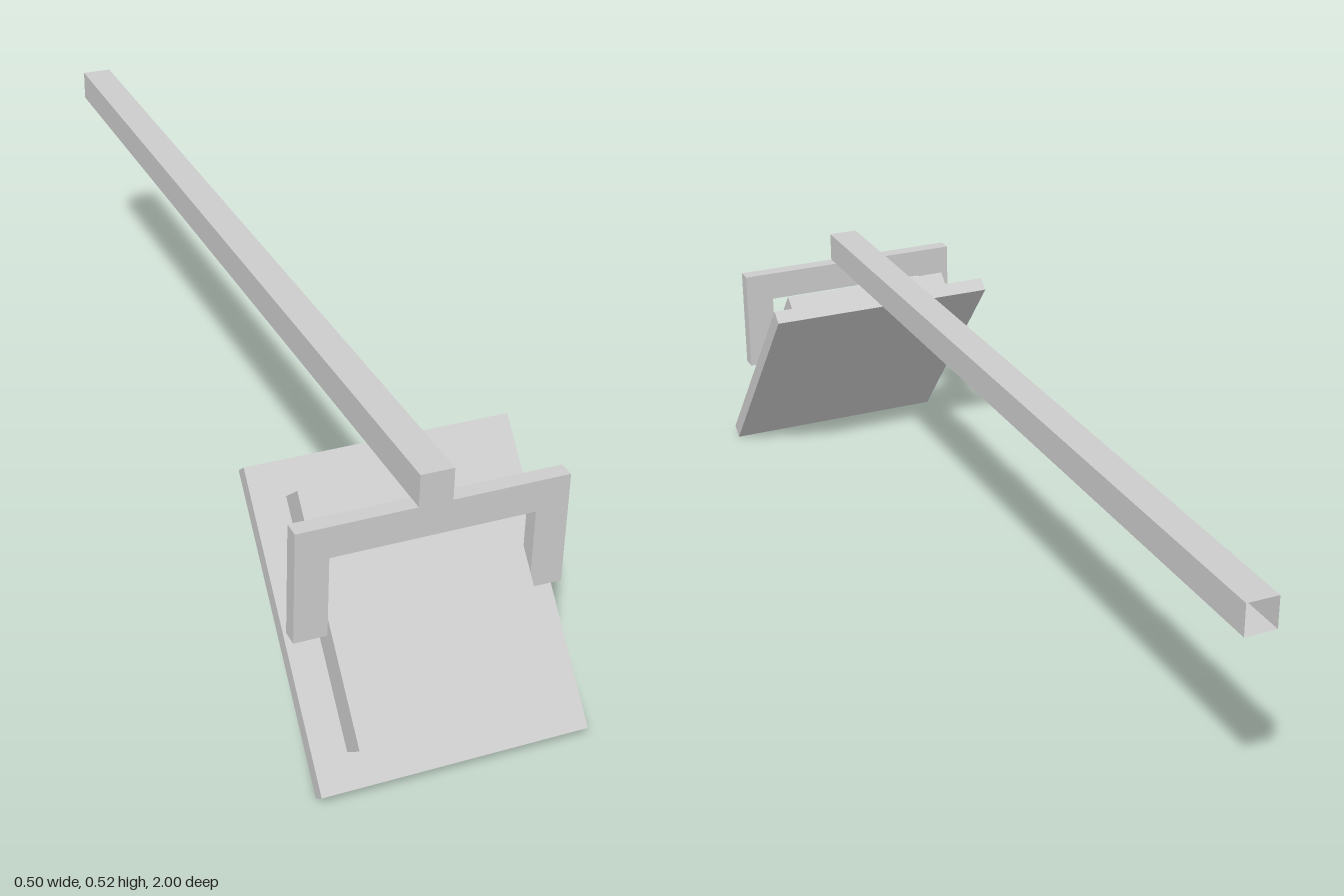
import * as THREE from 'three';

export function createModel() {
  const model = new THREE.Group();
  const grey = new THREE.MeshStandardMaterial({ color: 0xcccccc, side: THREE.DoubleSide });
  grey.name = 'light grey';

  const add = (parent, name, geometry, x, y, z) => {
    const mesh = new THREE.Mesh(geometry, grey);
    mesh.name = name;
    mesh.position.set(x, y, z);
    parent.add(mesh);
    return mesh;
  };

  // Long square handle, a hollow tube left open at its back end
  const tube = new THREE.BoxGeometry(0.062, 0.062, 1.86);
  tube.setIndex(Array.from(tube.index.array).slice(0, 30)); // drop the back face
  tube.clearGroups();
  add(model, 'handle', tube, 0, 0.491, -0.07);

  // Upside-down U bracket that carries the head between its legs
  const outline = [
    [-0.248, 0.243], [-0.187, 0.243], [-0.187, 0.399], [0.187, 0.399],
    [0.187, 0.243], [0.248, 0.243], [0.248, 0.46], [-0.248, 0.46],
  ].map(([x, y]) => new THREE.Vector2(x, y));
  const fork = new THREE.ExtrudeGeometry(new THREE.Shape(outline), { depth: 0.031, bevelEnabled: false });
  add(model, 'bracket', fork, 0, 0, 0.829);

  // Tilted head: a thin plate with a thicker block on its upper side
  const head = new THREE.Group();
  head.name = 'head';
  head.position.set(0, 0.2245, 0.8);
  head.rotation.x = -THREE.MathUtils.degToRad(40);
  add(head, 'plate', new THREE.BoxGeometry(0.496, 0.56, 0.031), 0, 0, 0);
  add(head, 'block', new THREE.BoxGeometry(0.373, 0.436, 0.063), 0, 0, 0.047);
  model.add(head);

  return model;
}
